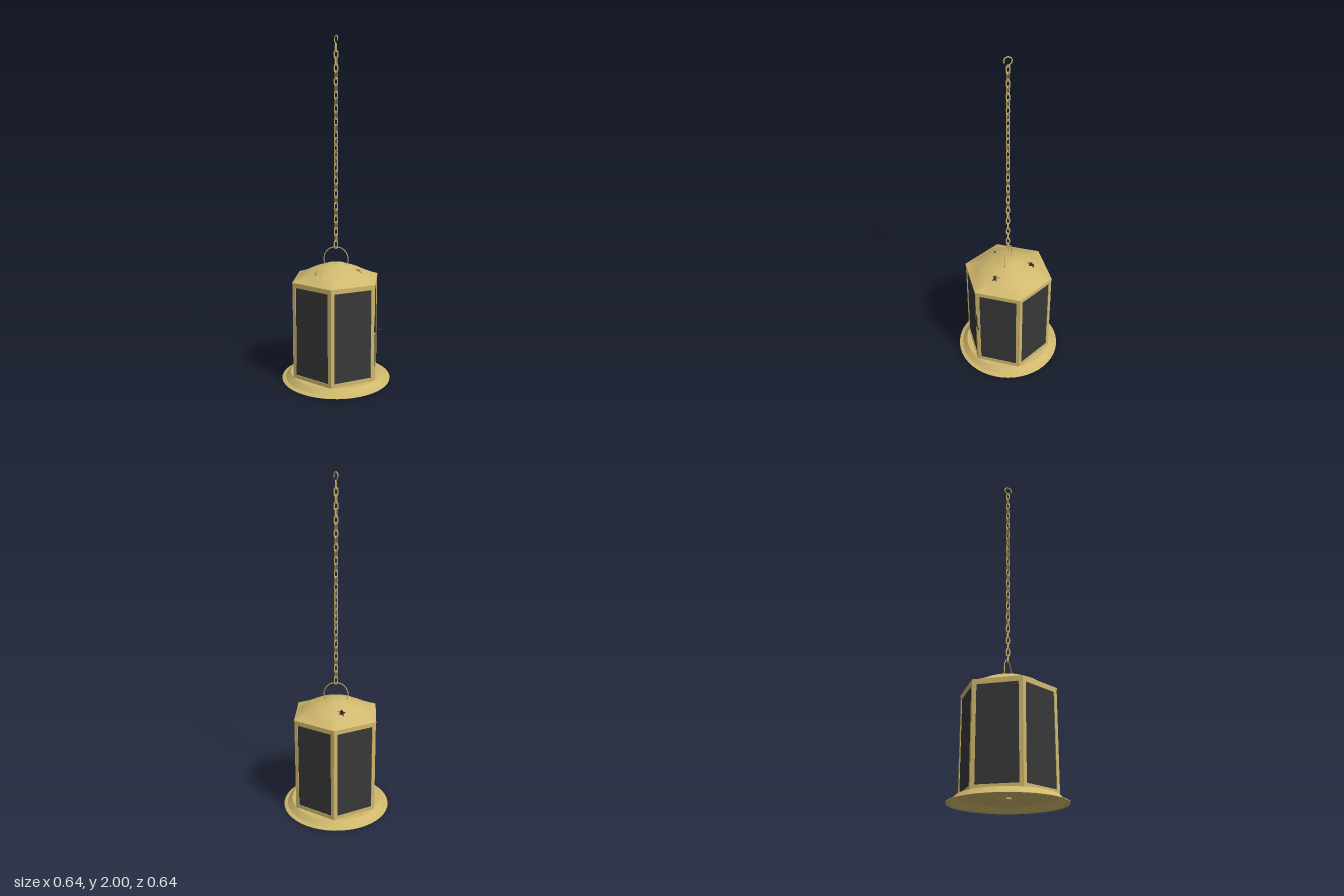
import * as THREE from 'three';
import { mergeGeometries, mergeVertices } from 'three/addons/utils/BufferGeometryUtils.js';

const brass = new THREE.MeshStandardMaterial({ color: 0xd0b96e, side: THREE.DoubleSide });
brass.name = 'brass';
const glassDark = new THREE.MeshStandardMaterial({ color: 0x383838 });
glassDark.name = 'dark glass';
const RAD = Math.PI / 180;
const APOTHEM = 0.236;
const SIDE = APOTHEM * 2 * Math.tan(30 * RAD);

function part(name, geometry, material, parent) {
  const mesh = new THREE.Mesh(geometry, material);
  mesh.name = name;
  parent.add(mesh);
  return mesh;
}

function faceted(geometry) {
  const g = geometry.toNonIndexed();
  g.computeVertexNormals();
  return g;
}

const vec = (x, y, z) => new THREE.Vector3(x, y, z);

// Height of the round dome at a given radius
const DOME = [[0, 0.702], [0.03, 0.702], [0.055, 0.698], [0.067, 0.691], [0.085, 0.687],
  [0.105, 0.681], [0.13, 0.672], [0.155, 0.661], [0.18, 0.648]];
function domeHeight(r) {
  for (let i = 1; i < DOME.length; i++) {
    const [r0, y0] = DOME[i - 1], [r1, y1] = DOME[i];
    if (r <= r1 || i === DOME.length - 1) return y0 + (y1 - y0) * Math.min(1, (r - r0) / (r1 - r0));
  }
}

// Round dome that spreads to a hexagonal eave, pierced by three stars
function roofGeometry() {
  const SEG = 72, STEP = 5, OUTER = 4;
  const rows = DOME.length + OUTER;
  const first = 5, last = 8;
  const stars = [{ at: 45, turn: 4 }, { at: 165, turn: -12 }, { at: 285, turn: -20 }];
  const point = (i, j) => {
    const deg = j * STEP, a = deg * RAD;
    let [r, y] = DOME[Math.min(i, DOME.length - 1)];
    if (i >= DOME.length) {
      const t = (i - DOME.length + 1) / OUTER;
      const hex = (APOTHEM + 0.002) / Math.cos(((deg % 60) - 30) * RAD);
      r += (hex - r) * t;
      y = 0.612 + (y - 0.612) * Math.pow(1 - t, 1.15);
    }
    return vec(r * Math.cos(a), y, r * Math.sin(a));
  };

  // Regular surface, leaving a window around each star
  const pos = [];
  const tri = (...pts) => pts.forEach(p => pos.push(p.x, p.y, p.z));
  for (let i = 0; i < rows - 1; i++) {
    for (let j = 0; j < SEG; j++) {
      const inWindow = i >= first && i < last &&
        stars.some(s => Math.abs((j + 0.5) * STEP - s.at) < 15);
      if (inWindow) continue;
      const a = point(i, j), b = point(i, j + 1), c = point(i + 1, j), d = point(i + 1, j + 1);
      if (i > 0) tri(a, b, c);
      tri(b, d, c);
    }
  }
  const surface = new THREE.BufferGeometry();
  surface.setAttribute('position', new THREE.Float32BufferAttribute(pos, 3));

  // Window patches with star-shaped holes
  const patches = stars.map(({ at, turn }) => {
    const j0 = at / STEP - 3, j1 = at / STEP + 3;
    const edge = [];
    for (let j = j0; j < j1; j++) edge.push(point(first, j));
    for (let i = first; i < last; i++) edge.push(point(i, j1));
    for (let j = j1; j > j0; j--) edge.push(point(last, j));
    for (let i = last; i > first; i--) edge.push(point(i, j0));
    const shape = new THREE.Shape(edge.map(p => new THREE.Vector2(p.x, -p.z)));
    const cx = 0.143 * Math.cos(at * RAD), cz = 0.143 * Math.sin(at * RAD);
    const tips = [];
    for (let k = 0; k < 10; k++) {
      const a = (turn + k * 36) * RAD, r = k % 2 ? 0.0135 : 0.027;
      tips.push(new THREE.Vector2(cx + r * Math.cos(a), -(cz + r * Math.sin(a))));
    }
    shape.holes.push(new THREE.Path(tips));
    const g = new THREE.ShapeGeometry(shape).toNonIndexed();
    g.rotateX(-Math.PI / 2);
    const p = g.attributes.position;
    for (let i = 0; i < p.count; i++) p.setY(i, domeHeight(Math.hypot(p.getX(i), p.getZ(i))));
    g.deleteAttribute('normal');
    g.deleteAttribute('uv');
    return g;
  });
  const roof = mergeVertices(mergeGeometries([surface, ...patches]), 1e-5);
  roof.computeVertexNormals();
  return roof;
}

// One framed glass wall, facing +z before it is turned
function wallPanel() {
  const wall = new THREE.Group();
  const y0 = 0.04, y1 = 0.605, hw = SIDE / 2;
  const rect = (Type, w, a, b) => new Type([[-w, a], [w, a], [w, b], [-w, b]].map(p => new THREE.Vector2(...p)));
  const shape = rect(THREE.Shape, hw, y0, y1);
  shape.holes.push(rect(THREE.Path, hw - 0.022, 0.062, 0.584));
  const frame = new THREE.ExtrudeGeometry(shape, { depth: 0.012, bevelEnabled: false });
  part('wallFrame', frame, brass, wall).position.z = APOTHEM - 0.012;
  part('glassPane', new THREE.BoxGeometry(SIDE - 0.04, 0.526, 0.005), glassDark, wall)
    .position.set(0, 0.323, APOTHEM - 0.006);
  return wall;
}

// Closed oval path of one chain link
function linkGeometry(halfWidth, halfHeight, wire) {
  const pts = [];
  for (let k = 0; k < 12; k++) {
    const a = k * 30 * RAD;
    const straight = Math.sign(Math.round(Math.sin(a) * 10)) * (halfHeight - halfWidth);
    pts.push(vec(halfWidth * Math.cos(a), halfWidth * Math.sin(a) + straight, 0));
  }
  return new THREE.TubeGeometry(new THREE.CatmullRomCurve3(pts, true), 24, wire, 6, true);
}

export function createModel() {
  const lantern = new THREE.Group();
  lantern.name = 'hangingLantern';

  // Flared round base tray, hollow below, with a nut underneath
  const tray = [[0, 0.041], [0.271, 0.041], [0.271, 0.041], [0.3, 0.011], [0.3, 0.011], [0.322, 0.006], [0.322, 0.003],
    [0.322, 0.003], [0.298, 0.006], [0.298, 0.006], [0.268, 0.035], [0.268, 0.035], [0, 0.035]]
    .reverse().map(p => new THREE.Vector2(...p));
  part('baseTray', new THREE.LatheGeometry(tray, 48), brass, lantern);
  part('baseNut', faceted(new THREE.CylinderGeometry(0.018, 0.018, 0.008, 6)), brass, lantern).position.y = 0.031;

  // Six glazed walls with corner posts
  for (let k = 0; k < 6; k++) {
    const wall = wallPanel();
    wall.name = 'wall' + (k + 1);
    wall.rotation.y = k * 60 * RAD;
    lantern.add(wall);
    const a = k * 60 * RAD;
    part('cornerPost', new THREE.CylinderGeometry(0.006, 0.006, 0.56, 8), brass, lantern)
      .position.set(0.266 * Math.cos(a), 0.322, 0.266 * Math.sin(a));
  }

  // Roof and its hexagonal rim
  part('roof', roofGeometry(), brass, lantern);
  const rimRadius = (APOTHEM + 0.002) / Math.cos(30 * RAD);
  const rim = new THREE.CylinderGeometry(rimRadius, rimRadius, 0.011, 6, 1, true, Math.PI / 2);
  part('roofRim', faceted(rim), brass, lantern).position.y = 0.6065;

  // Door latch on the front left corner
  const latch = new THREE.Group();
  latch.name = 'doorLatch';
  part('latchPlate', new THREE.BoxGeometry(0.007, 0.095, 0.007), glassDark, latch).position.set(0.137, 0.38, 0.235);
  const bar = part('latchLever', new THREE.CylinderGeometry(0.0035, 0.0035, 0.046, 8), glassDark, latch);
  bar.rotation.z = Math.PI / 2;
  bar.position.set(0.16, 0.345, 0.234);
  lantern.add(latch);

  // Wire bail over the dome
  const half = [[0.064, 0.693], [0.072, 0.722], [0.062, 0.762], [0.035, 0.789]];
  const bailPts = [...half.map(([x, y]) => vec(-x, y, 0)), vec(0, 0.797, 0),
    ...half.slice().reverse().map(([x, y]) => vec(x, y, 0))];
  const bail = part('bail', new THREE.TubeGeometry(new THREE.CatmullRomCurve3(bailPts), 40, 0.003, 6), brass, lantern);
  bail.rotation.y = -33 * RAD;

  // Chain of alternating links
  const chain = new THREE.Group();
  chain.name = 'chain';
  const link = linkGeometry(0.0105, 0.0235, 0.0035);
  const LINKS = 31, bottom = 0.812, top = 1.93;
  for (let i = 0; i < LINKS; i++) {
    const m = part('chainLink', link, brass, chain);
    m.position.y = bottom + (top - bottom) * i / (LINKS - 1);
    m.rotation.y = (i * 90 + i * 1.5) * RAD;
  }
  lantern.add(chain);

  // Open hook at the top
  const hookPts = [[0.021, 1.966], [0.022, 1.98], [0.012, 1.994], [-0.004, 1.996], [-0.018, 1.987],
    [-0.021, 1.972], [-0.012, 1.959], [-0.002, 1.95], [0.003, 1.94]].map(([z, y]) => vec(0, y, z));
  part('hook', new THREE.TubeGeometry(new THREE.CatmullRomCurve3(hookPts), 40, 0.0035, 6), brass, lantern);

  return lantern;
}
